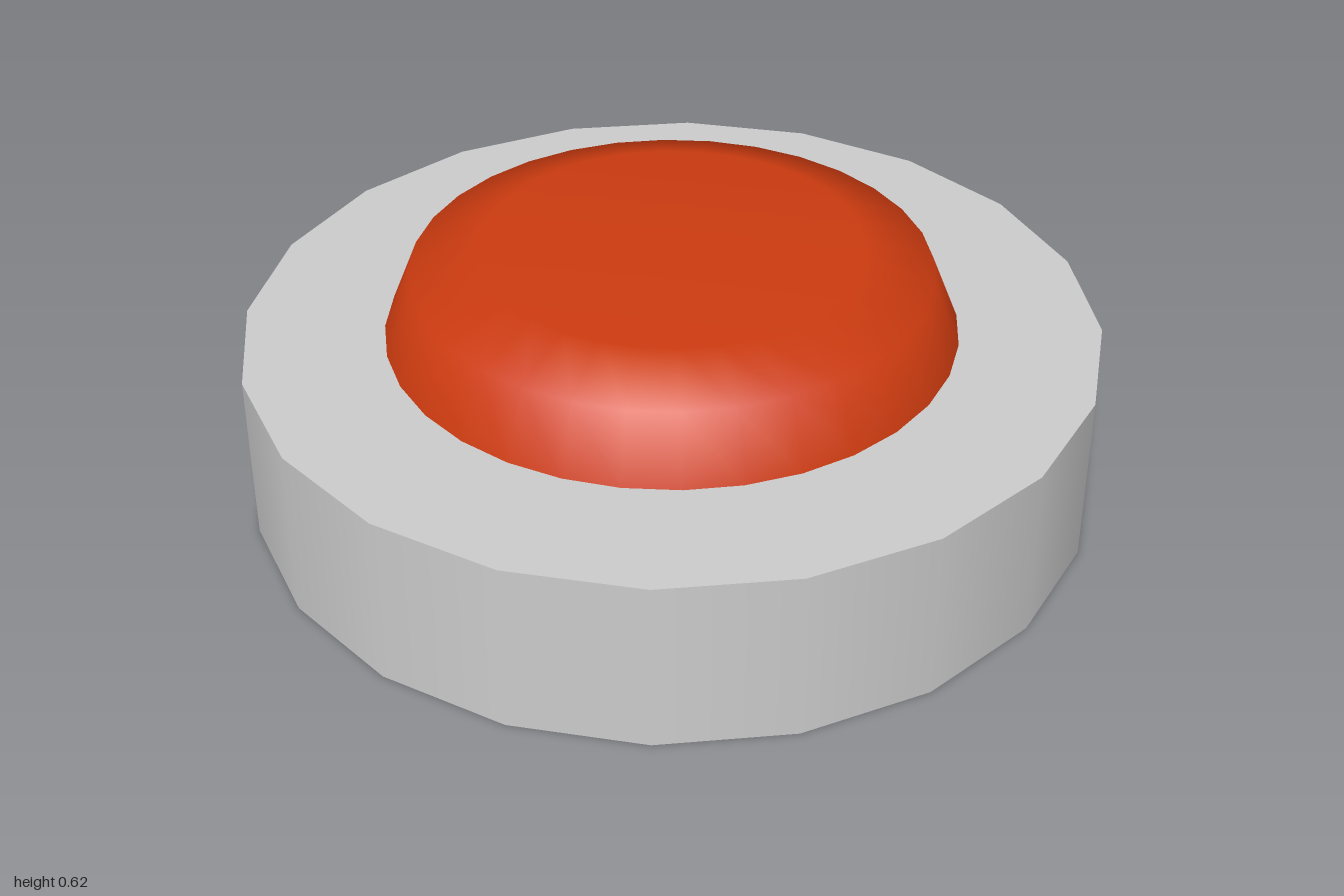
import * as THREE from 'three';

export function createModel() {
  const group = new THREE.Group();
  const add = (name, geometry, color) => {
    const mesh = new THREE.Mesh(geometry, new THREE.MeshStandardMaterial({ color }));
    mesh.name = name;
    group.add(mesh);
    return mesh;
  };

  // Twenty-sided housing, smooth around the wall with sharp rims
  const height = 0.412;
  const base = add('base', new THREE.CylinderGeometry(1, 1, height, 20), 0xcccccc);
  base.position.y = height / 2;

  // Domed push button with a bevelled shoulder and flat top
  const profile = [
    [0.668, height],
    [0.605, 0.568],
    [0.445, 0.621],
    [0, 0.621],
  ].map(([r, y]) => new THREE.Vector2(r, y));
  add('button', new THREE.LatheGeometry(profile, 32), 0xcc3b10);

  return group;
}
